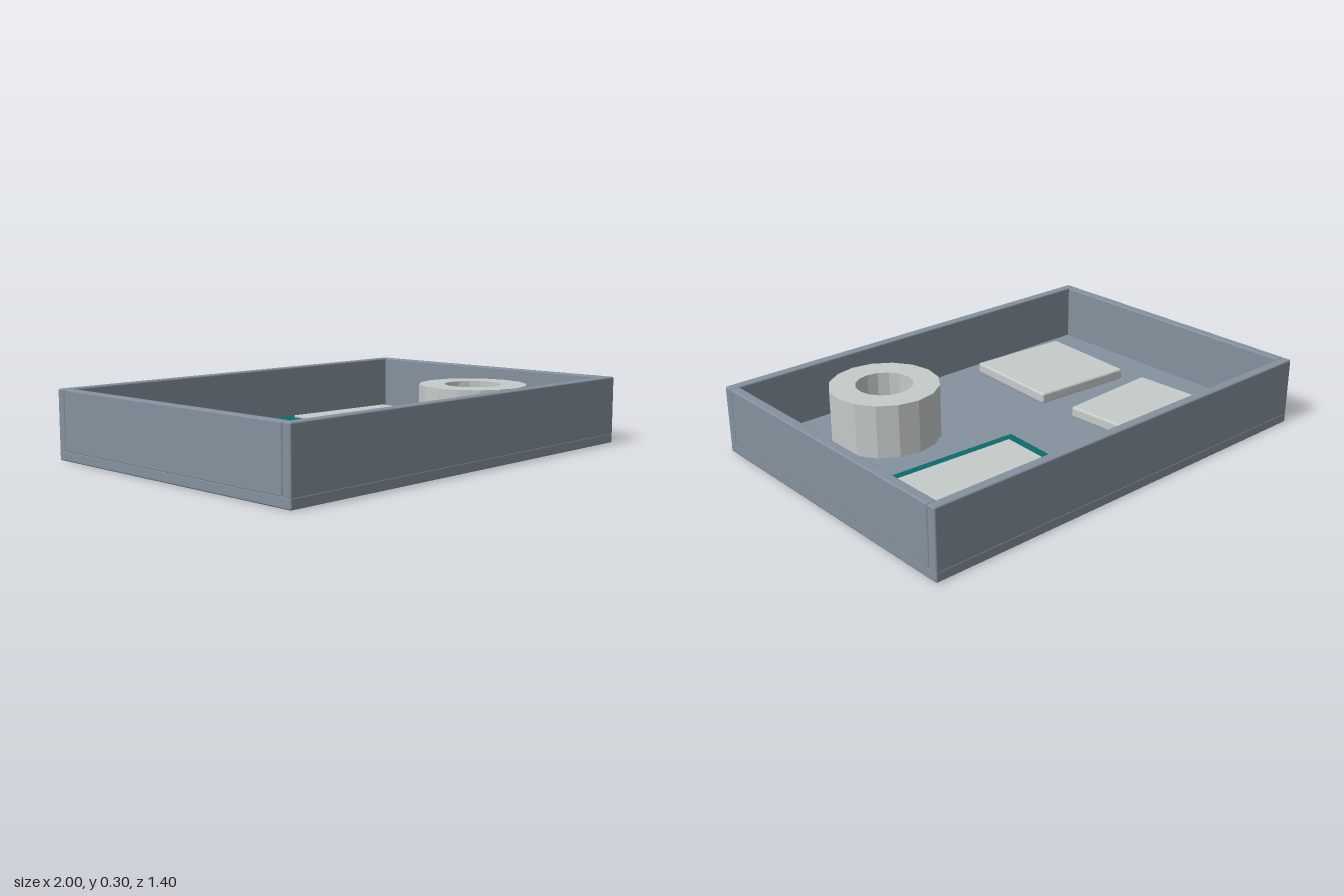
import * as THREE from 'three';
import { RoundedBoxGeometry } from 'three/addons/geometries/RoundedBoxGeometry.js';

const FLOOR = 0.045;   // top of the tray base
const WALL = 0.043;    // wall thickness
const HEIGHT = 0.3;

export function createModel() {
  const model = new THREE.Group();
  model.name = 'sortingTray';

  const trayGrey = new THREE.MeshStandardMaterial({ color: 0x84919e });
  trayGrey.name = 'trayGrey';
  const paleGrey = new THREE.MeshStandardMaterial({ color: 0xc5cbc9 });
  paleGrey.name = 'paleGrey';
  const teal = new THREE.MeshStandardMaterial({ color: 0x0d6a6b });
  teal.name = 'teal';

  // Softly rounded block standing on height y
  function block(name, material, size, x, y, z, turn = 0, radius = 0.007) {
    const geometry = new RoundedBoxGeometry(size[0], size[1], size[2], 2, radius);
    const mesh = new THREE.Mesh(geometry, material);
    mesh.name = name;
    mesh.position.set(x, y + size[1] / 2, z);
    mesh.rotation.y = turn;
    model.add(mesh);
    return mesh;
  }

  // Tray: base, long walls, and short walls fitted between them
  block('trayBase', trayGrey, [2, FLOOR, 1.4], 0, 0, 0);
  const wallY = FLOOR - 0.006;
  const wallH = HEIGHT - wallY;
  for (const side of [1, -1]) {
    block(side > 0 ? 'frontWall' : 'backWall', trayGrey,
      [2, wallH, WALL], 0, wallY, side * (0.7 - WALL / 2));
    block(side > 0 ? 'leftWall' : 'rightWall', trayGrey,
      [WALL, wallH, 1.4 - 2 * WALL], side * (1 - WALL / 2), wallY, 0);
  }

  // Two loose square tiles
  block('backTile', paleGrey, [0.49, 0.05, 0.487], -0.51, FLOOR, -0.32, 0.055, 0.01);
  block('frontTile', paleGrey, [0.49, 0.05, 0.487], -0.51, FLOOR, 0.32, -0.062, 0.01);

  // Teal backing card with a pale plate on top
  block('backingCard', teal, [0.69, 0.032, 0.497], 0.465, FLOOR, -0.32, -0.052, 0.003);
  block('cardPlate', paleGrey, [0.59, 0.02, 0.397], 0.465, FLOOR + 0.022, -0.32, -0.052, 0.004);

  // Faceted ring, open through the middle
  const outer = 0.237, inner = 0.124, tall = 0.235;
  const profile = [[inner, 0], [outer, 0], [outer, tall], [inner, tall], [inner, 0]]
    .map(([r, y]) => new THREE.Vector2(r, y));
  const ringGeometry = new THREE.LatheGeometry(profile, 16).toNonIndexed();
  ringGeometry.computeVertexNormals();
  const ring = new THREE.Mesh(ringGeometry, paleGrey);
  ring.name = 'ring';
  ring.position.set(0.462, FLOOR, 0.317);
  model.add(ring);

  return model;
}
